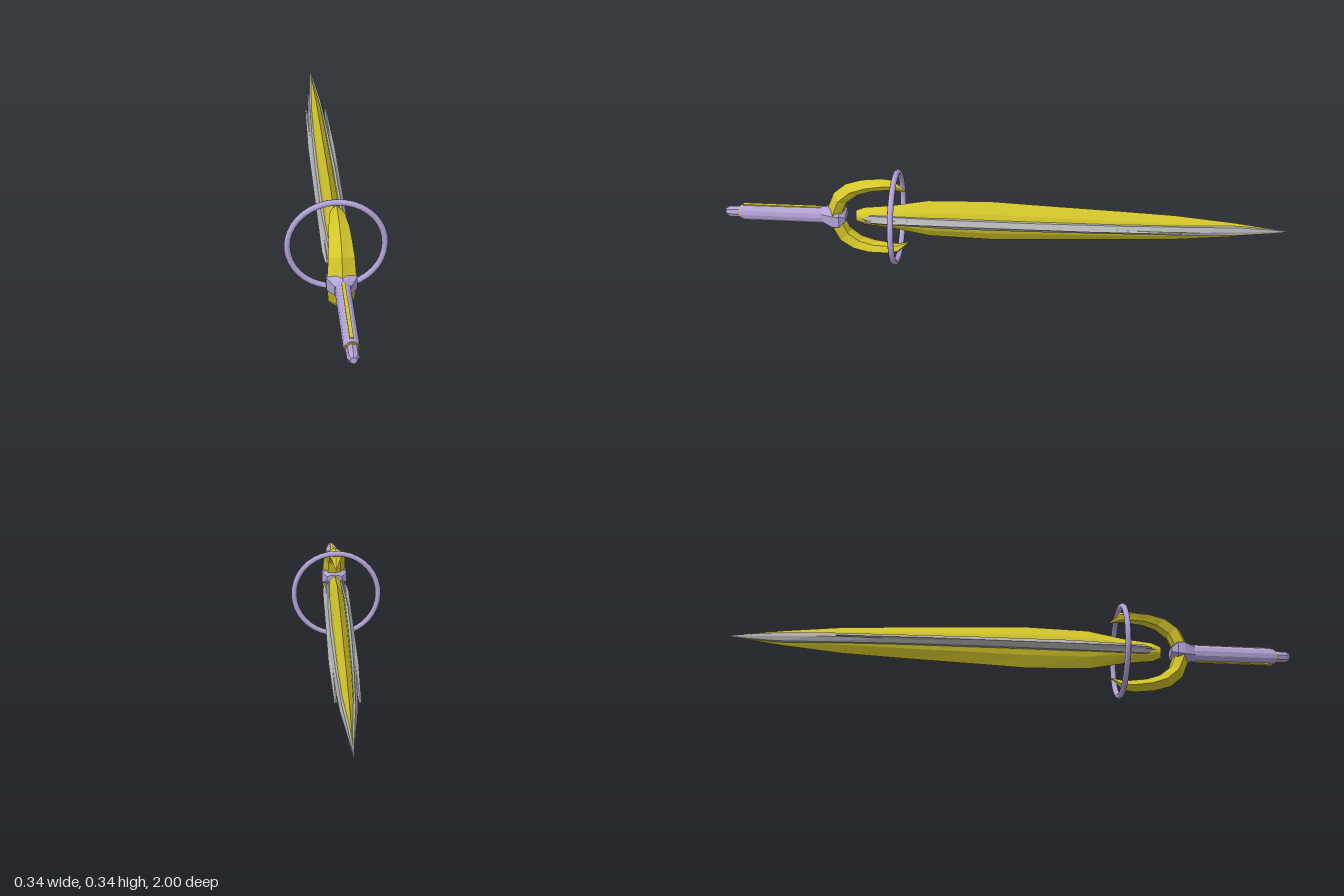
import * as THREE from 'three';

const CY = 0.172; // height of the sword's long axis
const mat = (name, color) => Object.assign(new THREE.MeshStandardMaterial({ color }), { name });

// Skin a closed, faceted solid over rings of [x, y, z] points
function loft(rings) {
  const n = rings[0].length, tris = [];
  for (let i = 0; i < rings.length - 1; i++) {
    for (let j = 0; j < n; j++) {
      const k = (j + 1) % n, a = rings[i], b = rings[i + 1];
      tris.push([a[j], a[k], b[k]], [a[j], b[k], b[j]]);
    }
  }
  const first = rings[0], last = rings[rings.length - 1];
  for (let j = 1; j < n - 1; j++) {
    tris.push([first[0], first[j + 1], first[j]], [last[0], last[j], last[j + 1]]);
  }
  // Turn every face outward by the sign of the enclosed volume
  const v = (p) => new THREE.Vector3(...p);
  const volume = tris.reduce((s, [a, b, c]) => s + v(a).dot(v(b).cross(v(c))), 0);
  const points = tris.flatMap((t) => (volume < 0 ? [t[0], t[2], t[1]] : t)).map(v);
  const geometry = new THREE.BufferGeometry().setFromPoints(points);
  geometry.computeVertexNormals();
  return geometry;
}

// Rows of [z, half width, half height] shaped by a unit outline
const alongZ = (rows, outline) =>
  loft(rows.map(([z, w, h]) => outline.map(([x, y]) => [x * w, y * h, z])));

const polygon = (n) => Array.from({ length: n }, (_, i) => {
  const a = (i / n) * Math.PI * 2;
  return [Math.cos(a), Math.sin(a)];
});

export function createModel() {
  const gold = mat('gold', 0xd4c62a);
  const lavender = mat('lavender', 0xb2a3d6);
  const steel = mat('steel', 0xb0b0b0);
  const sword = new THREE.Group();
  sword.name = 'sword';
  const add = (name, geometry, material) => {
    const mesh = new THREE.Mesh(geometry, material);
    mesh.name = name;
    mesh.position.y = CY;
    sword.add(mesh);
    return mesh;
  };

  // Tall gold blade with sharp upper and lower edges
  add('bladeBody', alongZ([
    [0.53, 0.012, 0.022], [0.50, 0.024, 0.036], [0.40, 0.026, 0.048], [0.27, 0.028, 0.074],
    [0.05, 0.028, 0.08], [-0.1, 0.027, 0.073], [-0.4, 0.024, 0.06], [-0.6, 0.02, 0.05],
    [-0.8, 0.01, 0.029], [-0.93, 0.003, 0.011], [-0.97, 0.0005, 0.002],
  ], [[0, 1], [-0.8, 0.5], [-1, 0.25], [-1, -0.25], [-0.8, -0.5], [0, -1],
    [0.8, -0.5], [1, -0.25], [1, 0.25], [0.8, 0.5]]), gold);

  // Steel side edges running to the point
  add('bladeEdge', alongZ([
    [0.51, 0.022, 0.01], [0.47, 0.036, 0.02], [0.2, 0.049, 0.023], [-0.1, 0.048, 0.022],
    [-0.4, 0.04, 0.021], [-0.68, 0.028, 0.022], [-0.82, 0.015, 0.02],
    [-0.93, 0.006, 0.01], [-1, 0.0003, 0.0003],
  ], [[1, 0], [0.75, 0.8], [0, 1], [-0.75, 0.8], [-1, 0], [-0.75, -0.8], [0, -1],
    [0.75, -0.8]]), steel);

  // Raised steel rib along each side of the blade
  for (const s of [1, -1]) {
    const rib = add(s > 0 ? 'leftRib' : 'rightRib', alongZ([
      [0.49, 0.006, 0.003], [0.42, 0.012, 0.007], [-0.3, 0.012, 0.006], [-0.62, 0.004, 0.002],
    ], polygon(4)), steel);
    rib.position.x = s * 0.038;
  }

  // Crescent guard: outer [z, y], inner [z, y], half width from hub to tip
  const half = [
    [0.63, 0.03, 0.572, 0.02, 0.045], [0.605, 0.092, 0.555, 0.062, 0.042],
    [0.56, 0.131, 0.515, 0.094, 0.037], [0.50, 0.15, 0.47, 0.109, 0.033],
    [0.43, 0.157, 0.41, 0.115, 0.025], [0.39, 0.153, 0.385, 0.114, 0.017],
    [0.347, 0.108, 0.345, 0.105, 0.001],
  ];
  const lower = half.map(([zo, yo, zi, yi, w]) => [zo, -yo, zi, -yi, w]);
  add('crescentGuard', loft([...lower.reverse(), ...half].map(([zo, yo, zi, yi, w]) =>
    [[0, 0], [1, 0.4], [0.55, 0.9], [0, 1], [-0.55, 0.9], [-1, 0.4]].map(([x, t]) =>
      [x * w, yo + (yi - yo) * t, zo + (zi - zo) * t]))), gold);

  // Floating ring around the base of the blade
  add('ring', new THREE.TorusGeometry(0.161, 0.0105, 8, 36), lavender).position.z = 0.385;

  // Collar between guard and grip
  add('collar', alongZ([
    [0.65, 0.026, 0.026], [0.61, 0.048, 0.037], [0.585, 0.049, 0.034], [0.565, 0.03, 0.014],
  ], [[1, 0.6], [0.4, 1], [-0.4, 1], [-1, 0.6], [-1, -0.6], [-0.4, -1], [0.4, -1],
    [1, -0.6]]), lavender);

  // Grip and pommel
  add('grip', alongZ([
    [0.63, 0.026, 0.033], [0.93, 0.025, 0.031], [0.945, 0.023, 0.027],
  ], polygon(12)), lavender);
  add('pommelBand', alongZ([[0.94, 0.022, 0.025], [0.949, 0.021, 0.024]], polygon(12)), gold);
  add('pommel', alongZ([
    [0.94, 0.019, 0.021], [0.985, 0.019, 0.021], [1, 0.011, 0.012],
  ], polygon(8)), lavender);

  // Gold strips along the top and bottom of the grip
  for (const s of [1, -1]) {
    const strip = add(s > 0 ? 'topStrip' : 'bottomStrip',
      new THREE.BoxGeometry(0.012, 0.006, 0.28), gold);
    strip.position.set(0, CY + s * 0.0305, 0.795);
  }
  return sword;
}
